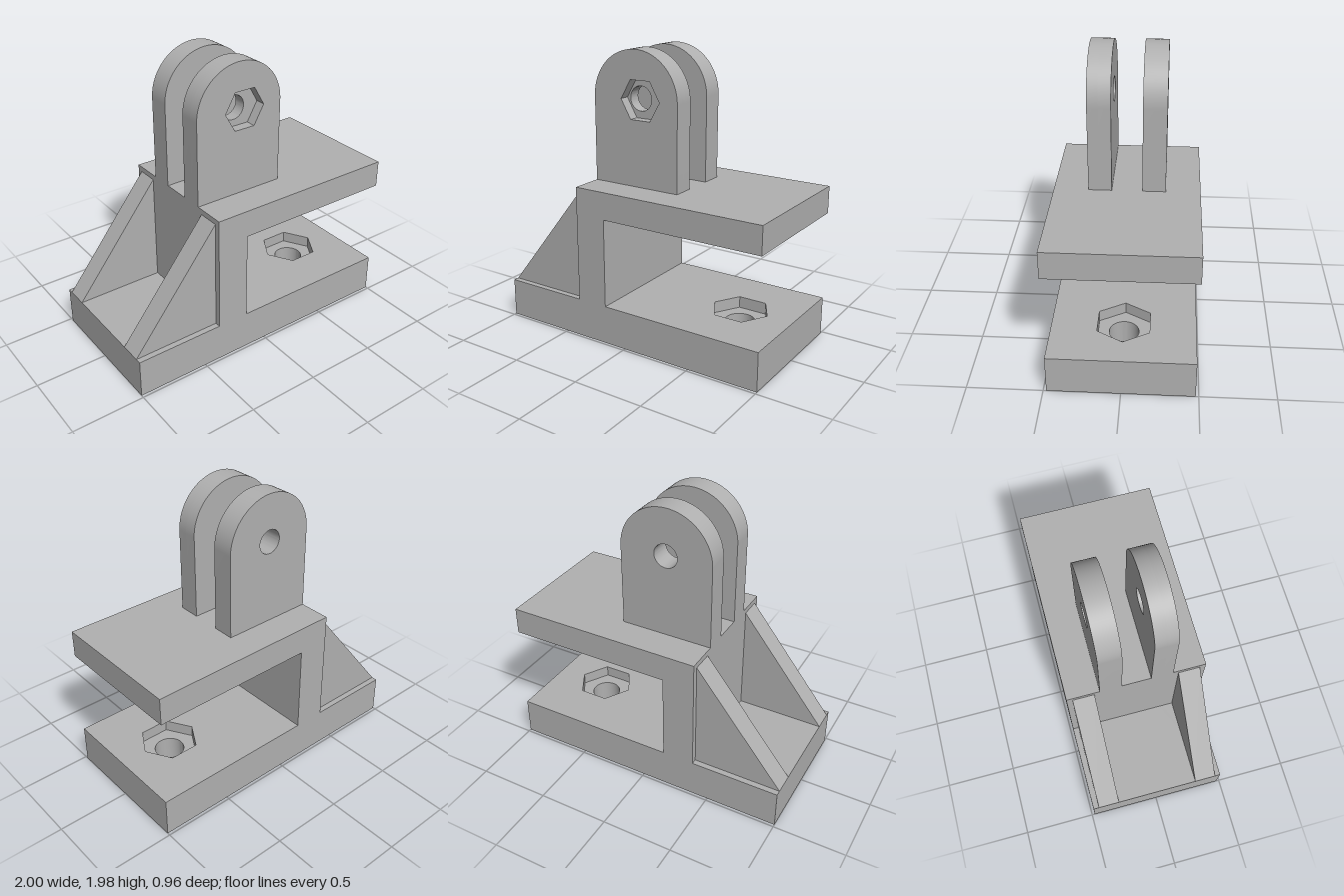
import * as THREE from 'three';
import { toCreasedNormals } from 'three/addons/utils/BufferGeometryUtils.js';

const WIDTH = 0.96;        // full depth of the bracket in z
const BASE_TOP = 0.27;
const NUT_FLOOR = 0.19;    // floor of the nut pocket in the base
const LUG = { x: -0.06, y: 1.657, r: 0.326, bottom: 1.077, inner: 0.1, outer: 0.253 };

export function createModel() {
  const grey = new THREE.MeshStandardMaterial({ color: 0xb0b0b0 });
  grey.name = 'grey';
  const model = new THREE.Group();
  model.name = 'clampBracket';

  const polygon = (points) => new THREE.Shape(points.map(([x, y]) => new THREE.Vector2(x, y)));

  const circleHole = (x, y, r) => new THREE.Path().absarc(x, y, r, 0, Math.PI * 2, true);

  // Hexagon with two corners along x
  const hexHole = (x, y, r) => new THREE.Path(
    Array.from({ length: 6 }, (_, i) => {
      const a = -i * Math.PI / 3;
      return new THREE.Vector2(x + r * Math.cos(a), y + r * Math.sin(a));
    })
  );

  // Extrudes a profile along z from z0 to z1
  const extrude = (shape, z0, z1) => {
    const geo = new THREE.ExtrudeGeometry(shape, { depth: z1 - z0, bevelEnabled: false, curveSegments: 32 });
    geo.translate(0, 0, z0);
    return toCreasedNormals(geo, 0.5);
  };

  const add = (name, geo) => {
    const mesh = new THREE.Mesh(geo, grey);
    mesh.name = name;
    model.add(mesh);
  };

  // Base plate: lower layer has the bolt hole, upper layer the nut pocket
  const plateLayer = (hole, y0, y1) => {
    const h = WIDTH / 2;
    const shape = polygon([[-1, -h], [1, -h], [1, h], [-1, h]]);
    shape.holes.push(hole);
    return extrude(shape, y0, y1).rotateX(-Math.PI / 2);
  };
  add('baseLower', plateLayer(circleHole(0.615, 0, 0.1), 0, NUT_FLOOR));
  add('baseUpper', plateLayer(hexHole(0.615, 0, 0.2), NUT_FLOOR, BASE_TOP));

  // Upright post and upper jaw in one profile
  add('postAndJaw', extrude(polygon([
    [-0.385, BASE_TOP], [-0.16, BASE_TOP], [-0.16, 0.888],
    [1, 0.888], [1, 1.077], [-0.385, 1.077],
  ]), -WIDTH / 2, WIDTH / 2));

  // Triangular ribs behind the post
  const rib = polygon([[-1, BASE_TOP], [-0.385, BASE_TOP], [-0.385, 1.04]]);
  add('frontRib', extrude(rib, 0.29, 0.44));
  add('backRib', extrude(rib, -0.44, -0.29));

  // Round-topped hinge lugs
  const lugShape = (hole) => {
    const { x, y, r, bottom } = LUG;
    const shape = new THREE.Shape();
    shape.moveTo(x - r, bottom);
    shape.lineTo(x + r, bottom);
    shape.lineTo(x + r, y);
    shape.absarc(x, y, r, 0, Math.PI, false);
    shape.closePath();
    shape.holes.push(hole);
    return shape;
  };
  const boltHole = () => circleHole(LUG.x, LUG.y, 0.083);
  const pocketFloor = LUG.outer - 0.07;
  add('backLug', extrude(lugShape(boltHole()), -LUG.outer, -LUG.inner));
  add('frontLugInner', extrude(lugShape(boltHole()), LUG.inner, pocketFloor));
  add('frontLugNutPocket', extrude(lugShape(hexHole(-0.02, LUG.y, 0.15)), pocketFloor, LUG.outer));

  return model;
}
